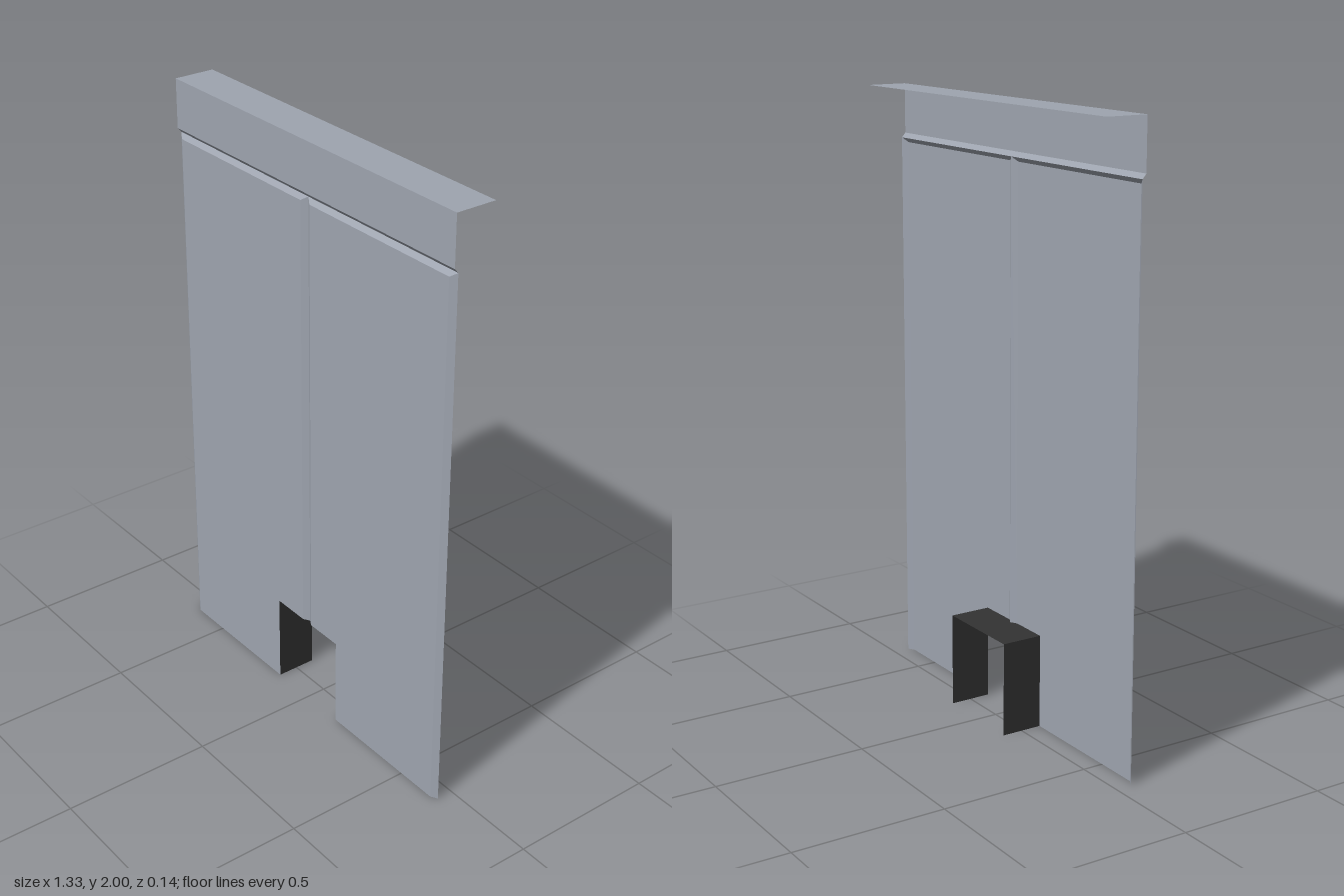
import * as THREE from 'three';

const steel = new THREE.MeshStandardMaterial({ color: 0x9ea4af, side: THREE.DoubleSide });
steel.name = 'blue grey sheet';
const black = new THREE.MeshStandardMaterial({ color: 0x333333, side: THREE.DoubleSide });
black.name = 'dark opening lining';

const W = 0.665, H = 2, FRONT = 0.069, BACK = -0.069; // overall sheet limits
const GROOVE = 0.056, BEVEL = 0.022;                  // groove depth and bevel width
const SEAM = 1.822, RISE = 0.015;                     // seam height and its bevel height
const OPEN_W = 0.155, OPEN_H = 0.31;                  // opening half width and height

// Flat polygon from corners listed counter-clockwise as seen from its front.
function facet(name, material, corners) {
  const index = [];
  for (let i = 1; i < corners.length - 1; i++) index.push(0, i, i + 1);
  const indexed = new THREE.BufferGeometry();
  indexed.setAttribute('position', new THREE.Float32BufferAttribute(corners.flat(), 3));
  indexed.setIndex(index);
  const geometry = indexed.toNonIndexed();
  geometry.computeVertexNormals();
  const mesh = new THREE.Mesh(geometry, material);
  mesh.name = name;
  return mesh;
}

// One bevelled wall panel between x0 and x1, notched at the inner bottom corner.
function wallPanel(name, x0, x1) {
  const group = new THREE.Group();
  group.name = name;
  const a = x0 + BEVEL, b = x1 - BEVEL, top = SEAM - RISE;
  const onLeft = x0 >= 0;
  const outline = onLeft
    ? [[a, OPEN_H], [OPEN_W, OPEN_H], [OPEN_W, 0], [b, 0], [b, top], [a, top]]
    : [[a, 0], [-OPEN_W, 0], [-OPEN_W, OPEN_H], [b, OPEN_H], [b, top], [a, top]];
  const face = new THREE.Mesh(
    new THREE.ShapeGeometry(new THREE.Shape(outline.map(([x, y]) => new THREE.Vector2(x, y)))), steel);
  face.position.z = FRONT;
  face.name = 'panelFace';
  const y0 = onLeft ? OPEN_H : 0, y1 = onLeft ? 0 : OPEN_H;
  group.add(
    face,
    facet('rightBevel', steel, [[x0, y0, GROOVE], [a, y0, FRONT], [a, top, FRONT], [x0, SEAM, GROOVE]]),
    facet('leftBevel', steel, [[b, y1, FRONT], [x1, y1, GROOVE], [x1, SEAM, GROOVE], [b, top, FRONT]]),
    facet('topBevel', steel, [[a, top, FRONT], [b, top, FRONT], [x1, SEAM, GROOVE], [x0, SEAM, GROOVE]]));
  return group;
}

export function createModel() {
  const model = new THREE.Group();
  model.name = 'wallSection';

  model.add(wallPanel('rightPanel', -W, 0), wallPanel('leftPanel', 0, W));

  // Header strip with its lower bevel, and the ledge running back from its top
  const low = SEAM + RISE;
  model.add(
    facet('header', steel, [[-W, low, FRONT], [W, low, FRONT], [W, H, FRONT], [-W, H, FRONT]]),
    facet('headerBevel', steel, [[-W, SEAM, GROOVE], [W, SEAM, GROOVE], [W, low, FRONT], [-W, low, FRONT]]),
    facet('topLedge', steel, [[-W, H, FRONT], [W, H, FRONT], [W, H, BACK], [-W, H, BACK]]));

  // Dark lining of the opening: two sides and a ceiling that follows the centre groove
  const lining = new THREE.Group();
  lining.name = 'openingLining';
  for (const s of [-1, 1]) {
    const x = s * OPEN_W, near = s < 0 ? FRONT : BACK, far = s < 0 ? BACK : FRONT;
    lining.add(facet(s < 0 ? 'rightLining' : 'leftLining', black,
      [[x, 0, near], [x, 0, far], [x, OPEN_H, far], [x, OPEN_H, near]]));
  }
  lining.add(facet('ceilingLining', black, [
    [0, OPEN_H, GROOVE], [-BEVEL, OPEN_H, FRONT], [-OPEN_W, OPEN_H, FRONT], [-OPEN_W, OPEN_H, BACK],
    [OPEN_W, OPEN_H, BACK], [OPEN_W, OPEN_H, FRONT], [BEVEL, OPEN_H, FRONT]]));
  model.add(lining);

  return model;
}
